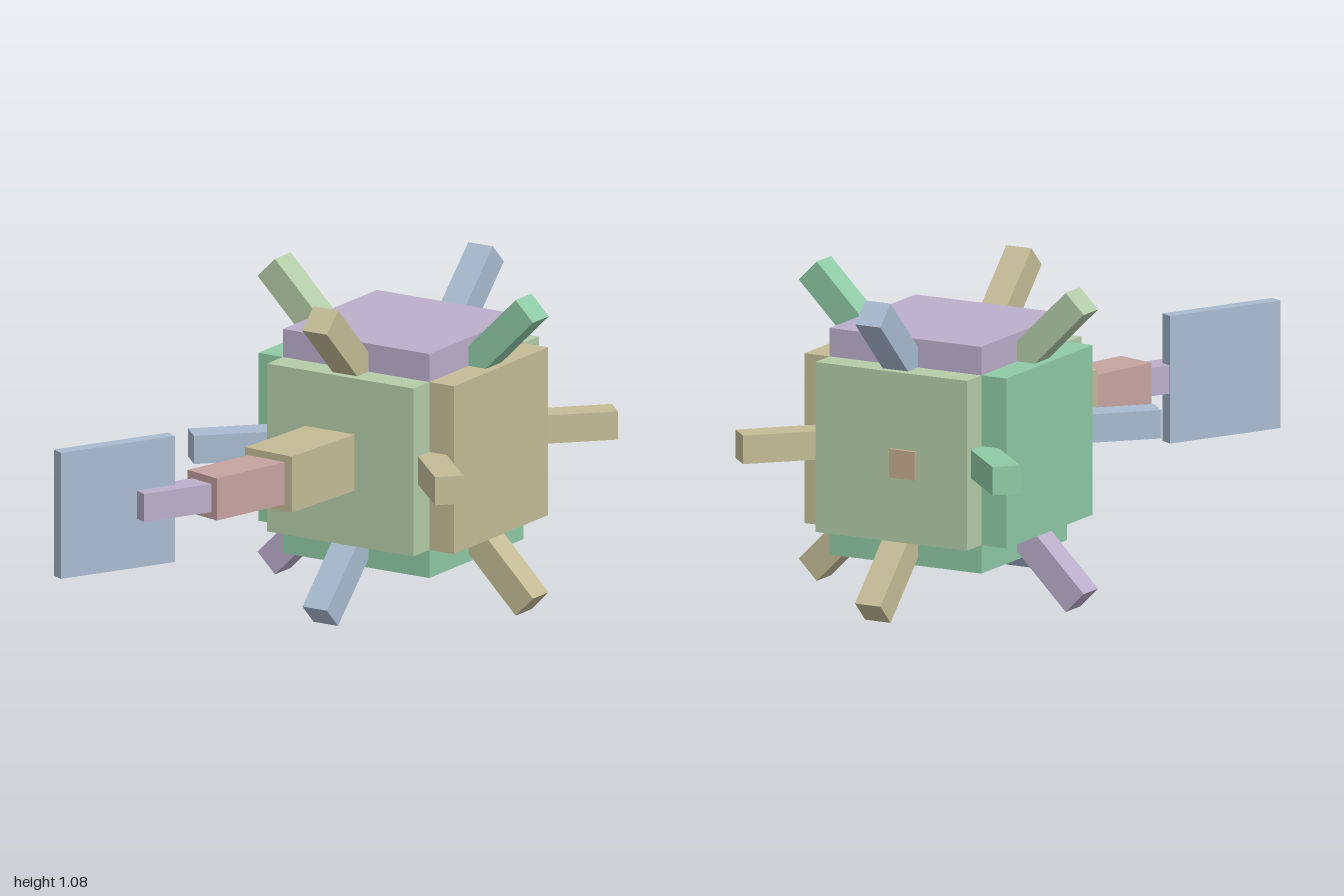
import * as THREE from 'three';

const paint = (name, color) => {
  const m = new THREE.MeshStandardMaterial({ color });
  m.name = name;
  return m;
};

export function createModel() {
  const tan = paint('tan', 0xc4bc96);
  const paleGreen = paint('paleGreen', 0xb4cca9);
  const green = paint('green', 0x8fcaa6);
  const purple = paint('purple', 0xbcaecb);
  const blue = paint('blue', 0xa9bbd0);
  const rose = paint('rose', 0xc6a3a0);
  const sand = paint('sand', 0xc4ab8e);

  const model = new THREE.Group();
  model.name = 'spikedSeaCreature';
  const box = (name, size, pos, mat, parent = model) => {
    const mesh = new THREE.Mesh(new THREE.BoxGeometry(...size), mat);
    mesh.name = name;
    mesh.position.set(...pos);
    parent.add(mesh);
    return mesh;
  };

  // Body: a long core with a shallow slab on four sides
  const body = new THREE.Group();
  body.name = 'body';
  body.position.set(0, 0.541, -0.462);
  model.add(body);
  const S = 0.574, T = 0.096, off = (S + T) / 2;
  box('bodyCore', [S, S, 0.766], [0, 0, 0], paleGreen, body);
  box('leftSlab', [T, S, S], [off, 0, 0], tan, body);
  box('rightSlab', [T, S, S], [-off, 0, 0], green, body);
  box('topSlab', [S, T, S], [0, off, 0], purple, body);
  box('bottomSlab', [S, T, S], [0, -off, 0], green, body);

  // Eye on the far end
  box('eye', [0.096, 0.096, 0.048], [-0.048, -0.02, -0.373], sand, body);

  // Twelve spikes pointing out along the diagonals
  const spikes = [
    [1, 1, 0, green], [-1, 1, 0, paleGreen], [1, -1, 0, tan], [-1, -1, 0, purple],
    [0, 1, 1, tan], [0, 1, -1, blue], [0, -1, 1, blue], [0, -1, -1, tan],
    [1, 0, 1, tan], [-1, 0, 1, blue], [1, 0, -1, tan], [-1, 0, -1, green],
  ];
  const L = 0.431, reach = 0.715;
  for (const [x, y, z, mat] of spikes) {
    const d = new THREE.Vector3(x, y, z).normalize();
    const spike = box('spike', [T, L, T], d.clone().multiplyScalar(reach - L / 2).toArray(), mat, body);
    // Turn about one axis only so the sides stay square to the body
    if (z === 0) spike.rotation.z = Math.atan2(-x, y);
    else if (x === 0) spike.rotation.x = Math.atan2(z, y);
    else spike.rotation.set(Math.PI / 2, 0, Math.atan2(-x, z));
  }

  // Tail: tapering segments that curl to the right, ending in a fin
  const tail = new THREE.Group();
  tail.name = 'tail';
  model.add(tail);
  const segment = (name, size, x, z, bend, mat) => {
    box(name, size, [x, 0.541, z], mat, tail).rotation.y = -bend;
  };
  segment('tailBase', [0.192, 0.192, 0.383], -0.051, 0.066, 0.075, tan);
  segment('tailMiddle', [0.144, 0.144, 0.383], -0.097, 0.349, 0.265, rose);
  segment('tailTip', [0.092, 0.096, 0.287], -0.195, 0.623, 0.49, purple);
  segment('tailFin', [0.048, 0.431, 0.431], -0.32, 0.8, 0.49, blue);

  return model;
}
